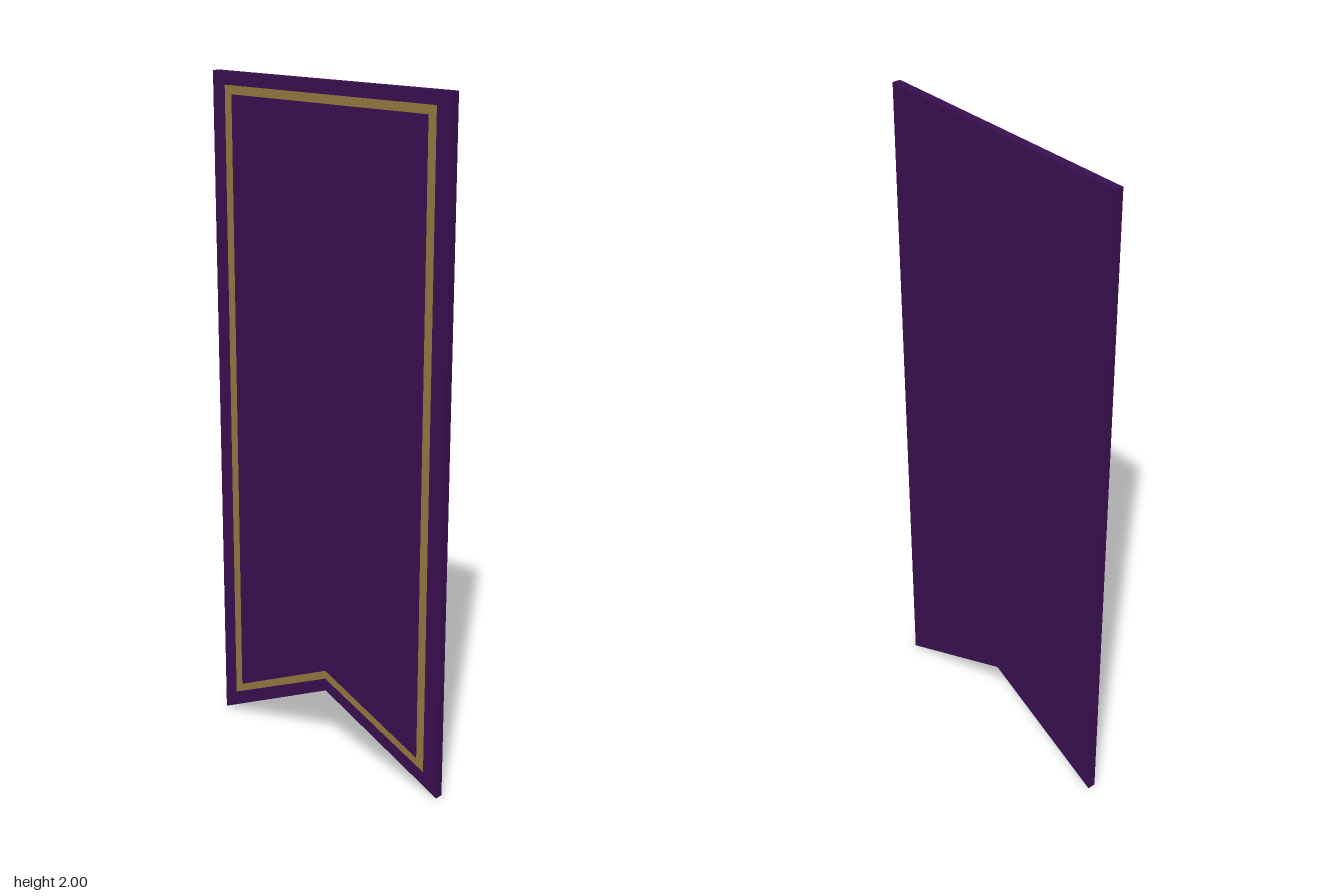
import * as THREE from 'three';

// Swallow-tailed pennant outline: half width, top, side tips and centre notch
function outline(PathType, halfWidth, top, tip, notch) {
  const path = new PathType();
  path.moveTo(-halfWidth, top);
  path.lineTo(-halfWidth, tip);
  path.lineTo(0, notch);
  path.lineTo(halfWidth, tip);
  path.lineTo(halfWidth, top);
  path.closePath();
  return path;
}

export function createModel() {
  const banner = new THREE.Group();
  banner.name = 'banner';

  // Cloth: thin extruded slab
  const clothGeometry = new THREE.ExtrudeGeometry(
    outline(THREE.Shape, 0.426, 2, 0, 0.2),
    { depth: 0.025, bevelEnabled: false }
  );
  clothGeometry.translate(0, 0, -0.0135);
  const cloth = new THREE.Mesh(clothGeometry, new THREE.MeshStandardMaterial({ color: 0x380f50 }));
  cloth.name = 'cloth';

  // Trim: flat gold border just in front of the cloth
  const border = outline(THREE.Shape, 0.378, 1.963, 0.068, 0.24);
  border.holes.push(outline(THREE.Path, 0.352, 1.938, 0.104, 0.266));
  const trim = new THREE.Mesh(
    new THREE.ShapeGeometry(border),
    new THREE.MeshStandardMaterial({ color: 0x92763d, side: THREE.DoubleSide })
  );
  trim.name = 'goldTrim';
  trim.position.z = 0.0135;

  banner.add(cloth, trim);
  return banner;
}
